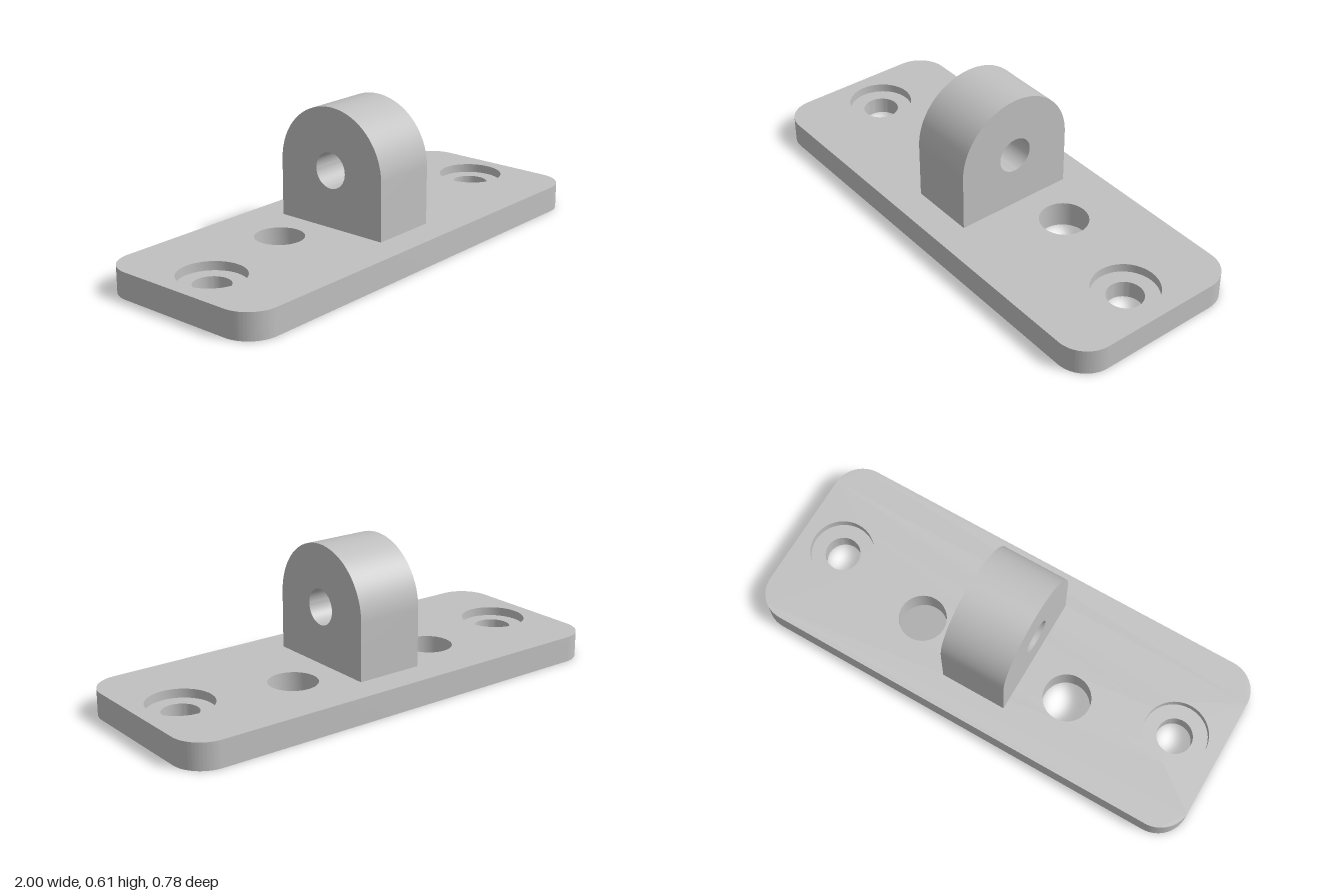
import * as THREE from 'three';
import { mergeGeometries, toCreasedNormals } from 'three/addons/utils/BufferGeometryUtils.js';

const THICK = 0.11, HALF_X = 1, HALF_Z = 0.39, CORNER = 0.13;
const SEAT_X = 0.805, SEAT_R = 0.136, BORE_R = 0.075, SEAT_Y = 0.073;
const HOLE_X = 0.347, HOLE_Z = -0.09, HOLE_R = 0.101;
const SEG = 24;

function addHole(shape, x, y, r) {
  const p = new THREE.Path();
  p.absarc(x, y, r, 0, Math.PI * 2, true);
  shape.holes.push(p);
}

// Rounded plate outline with the two plain holes, and end holes if endR is given
function plateShape(holeY, endR) {
  const s = new THREE.Shape();
  const x = HALF_X - CORNER, y = HALF_Z - CORNER, q = Math.PI / 2;
  [[x, y], [-x, y], [-x, -y], [x, -y]].forEach(([cx, cy], i) =>
    s.absarc(cx, cy, CORNER, i * q, (i + 1) * q, false));
  s.closePath();
  for (const side of [-1, 1]) {
    addHole(s, side * HOLE_X, holeY, HOLE_R);
    if (endR) addHole(s, side * SEAT_X, 0, endR);
  }
  return s;
}

// Only the side walls of an extrusion, without its caps
function wallsOf(shape, depth) {
  const g = new THREE.ExtrudeGeometry(shape, { depth, bevelEnabled: false, curveSegments: SEG });
  const { start, count } = g.groups[1];
  const walls = new THREE.BufferGeometry();
  for (const name of ['position', 'normal']) {
    const a = g.getAttribute(name).array.slice(start * 3, (start + count) * 3);
    walls.setAttribute(name, new THREE.BufferAttribute(a, 3));
  }
  return walls;
}

function plain(g) {
  const out = g.index ? g.toNonIndexed() : g;
  out.deleteAttribute('uv');
  return out;
}

function plateGeometry() {
  const up = -Math.PI / 2;
  const parts = [
    wallsOf(plateShape(-HOLE_Z), THICK).rotateX(up),
    plain(new THREE.ShapeGeometry(plateShape(-HOLE_Z, SEAT_R), SEG)).rotateX(up).translate(0, THICK, 0),
    plain(new THREE.ShapeGeometry(plateShape(HOLE_Z, BORE_R), SEG)).rotateX(-up),
  ];
  // Counterbored screw seats
  const profile = [[SEAT_R, THICK], [SEAT_R, SEAT_Y], [BORE_R, SEAT_Y], [BORE_R, 0]]
    .map(([r, y]) => new THREE.Vector2(r, y));
  for (const side of [-1, 1]) {
    parts.push(plain(new THREE.LatheGeometry(profile, SEG * 2)).translate(side * SEAT_X, 0, 0));
  }
  return toCreasedNormals(mergeGeometries(parts), 0.5);
}

// Upright round-topped lug with a cross hole
function lugGeometry() {
  const r = 0.26, cy = 0.35, width = 0.288;
  const s = new THREE.Shape();
  s.moveTo(-r, THICK);
  s.lineTo(r, THICK);
  s.absarc(0, cy, r, 0, Math.PI, false);
  s.closePath();
  addHole(s, 0, cy, 0.075);
  const g = new THREE.ExtrudeGeometry(s, { depth: width, bevelEnabled: false, curveSegments: SEG });
  g.translate(0, 0, -width / 2).rotateY(Math.PI / 2);
  return toCreasedNormals(g, 0.5);
}

export function createModel() {
  const metal = new THREE.MeshStandardMaterial({ color: 0xc0c0c0 });
  metal.name = 'grey metal';

  const group = new THREE.Group();
  group.name = 'mountingBracket';
  const add = (name, geometry) => {
    const mesh = new THREE.Mesh(geometry, metal);
    mesh.name = name;
    group.add(mesh);
  };
  add('basePlate', plateGeometry());
  add('pivotLug', lugGeometry());
  return group;
}
